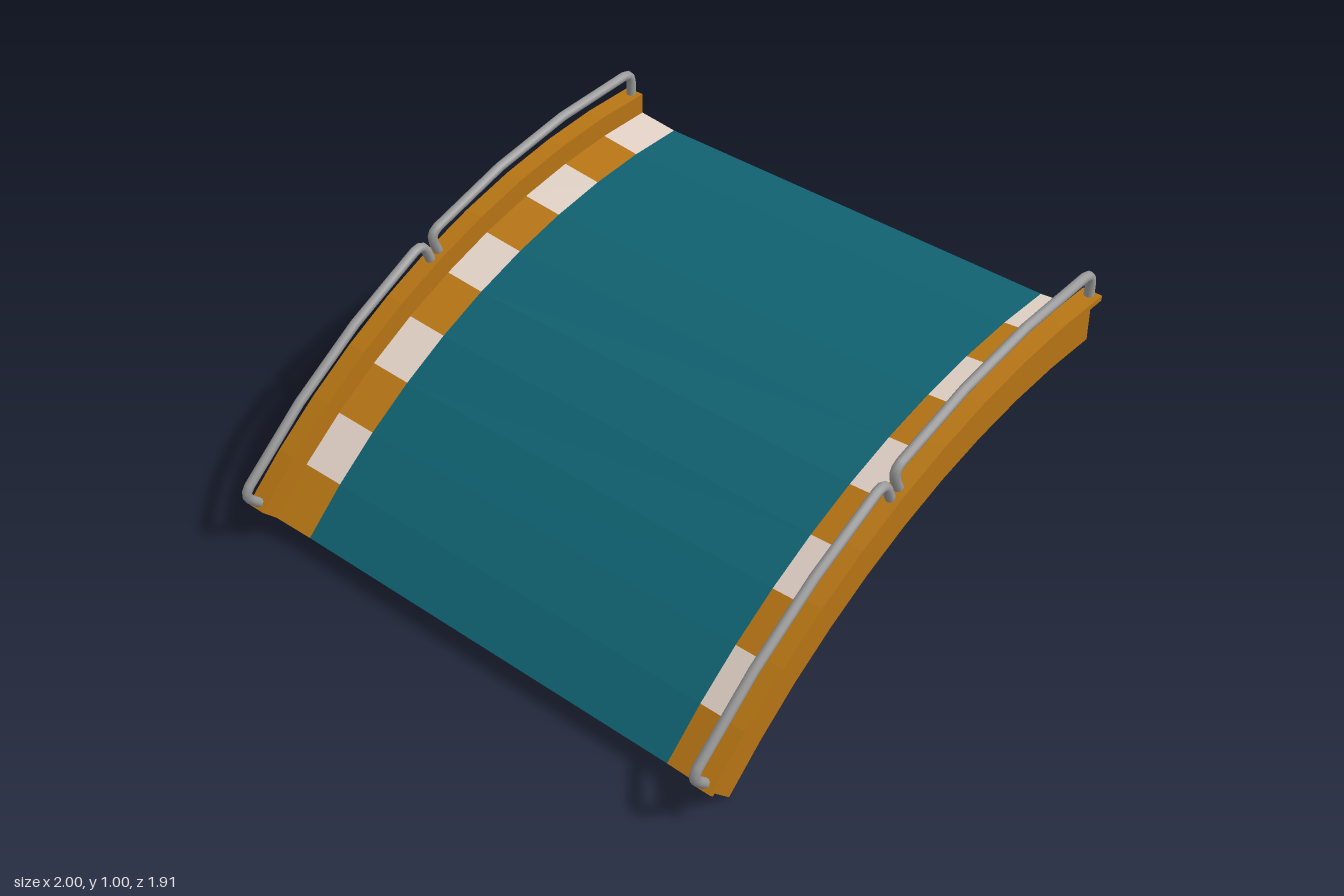
import * as THREE from 'three';

// The whole bridge is swept around one x-parallel axis, from flat (0 deg) to 45 deg at the foot.
const AXIS_Y = -1.743, AXIS_Z = -0.955, SWEEP = 45, BANDS = 10;
const R_BOTTOM = 2.465, R_DECK = 2.556, R_EDGE = 2.572, R_TOP = 2.647;

const material = (color) => new THREE.MeshStandardMaterial({ color });
const teal = material(0x106272), orange = material(0xb87614);
const cream = material(0xe2d2c6), steel = material(0x999999);

// Point at sideways position x, radius r and angle in degrees
function polar(x, r, deg) {
  const a = THREE.MathUtils.degToRad(deg);
  return new THREE.Vector3(x, AXIS_Y + r * Math.cos(a), AXIS_Z + r * Math.sin(a));
}

// Sweeps a closed [x, radius] profile along the arc, with faceted sides and end caps
function arcSolid(name, profile, mat, from = 0, to = SWEEP, steps = BANDS) {
  let pts = profile.map(([x, r]) => new THREE.Vector2(x, r));
  if (THREE.ShapeUtils.isClockWise(pts)) pts = pts.reverse();
  const n = pts.length, verts = [];
  const tri = (...corners) => corners.forEach((p) => verts.push(p.x, p.y, p.z));
  const ring = (k) => pts.map((p) => polar(p.x, p.y, from + ((to - from) * k) / steps));
  for (let k = 0; k < steps; k++) {
    const a = ring(k), b = ring(k + 1);
    for (let i = 0; i < n; i++) {
      const j = (i + 1) % n;
      tri(a[i], a[j], b[j]);
      tri(a[i], b[j], b[i]);
    }
  }
  const first = ring(0), last = ring(steps);
  for (let i = 1; i < n - 1; i++) {
    tri(first[0], first[i + 1], first[i]);
    tri(last[0], last[i], last[i + 1]);
  }
  const geo = new THREE.BufferGeometry();
  geo.setAttribute('position', new THREE.Float32BufferAttribute(verts, 3));
  geo.computeVertexNormals();
  const mesh = new THREE.Mesh(geo, mat);
  mesh.name = name;
  return mesh;
}

const rect = (x0, x1, r0, r1) => [[x0, r0], [x1, r0], [x1, r1], [x0, r1]];

// Polyline whose tube rings sit exactly on its points
class Polyline extends THREE.Curve {
  constructor(points) { super(); this.points = points; }
  getPoint(t) {
    const f = t * (this.points.length - 1);
    const i = Math.min(Math.floor(f + 1e-6), this.points.length - 2);
    return this.points[i].clone().lerp(this.points[i + 1], f - i);
  }
  getPointAt(t) { return this.getPoint(t); }
  getTangentAt(t) {
    const p = this.points, last = p.length - 1, i = Math.round(t * last);
    const dir = new THREE.Vector3();
    if (i > 0) dir.add(p[i].clone().sub(p[i - 1]).normalize());
    if (i < last) dir.add(p[i + 1].clone().sub(p[i]).normalize());
    return dir.normalize();
  }
}

// Handrail: two short posts with rounded corners and a three-piece bar
function handrail(x, from, to) {
  const corner = [[0, 2.63], [-0.03, 2.69], [0.08, 2.712], [0.33, 2.724], [0.8, 2.729]];
  const points = corner.map(([d, r]) => polar(x, r, from + d));
  const a = from + 0.8, b = to - 0.8;
  for (const t of [1 / 3, 2 / 3]) points.push(polar(x, 2.729, a + (b - a) * t));
  for (const [d, r] of [...corner].reverse()) points.push(polar(x, r, to - d));
  const geo = new THREE.TubeGeometry(new Polyline(points), points.length - 1, 0.017, 10);
  const mesh = new THREE.Mesh(geo, steel);
  mesh.name = 'handrail';
  return mesh;
}

export function createModel() {
  const model = new THREE.Group();
  model.name = 'archedBridgeSection';

  // Road deck, recessed at both edges for the painted bands
  const inset = 0.006;
  model.add(arcSolid('deck', [
    [-0.93, R_BOTTOM], [0.93, R_BOTTOM], [0.93, R_EDGE - inset], [0.78, R_DECK - inset],
    [0.78, R_DECK], [-0.78, R_DECK], [-0.78, R_DECK - inset], [-0.93, R_EDGE - inset],
  ], teal));

  for (const s of [1, -1]) {
    const side = new THREE.Group();
    side.name = s > 0 ? 'leftSide' : 'rightSide';

    // Alternating edge bands, rising slightly towards the wall
    const band = [
      [s * 0.78, R_DECK - inset], [s * 0.93, R_EDGE - inset],
      [s * 0.93, R_EDGE], [s * 0.78, R_DECK],
    ];
    const step = SWEEP / BANDS;
    for (let i = 0; i < BANDS; i++) {
      side.add(arcSolid('edgeBand', band, i % 2 ? orange : cream, i * step, (i + 1) * step, 1));
    }

    // Side wall with an overhanging cap
    side.add(arcSolid('sideWall', rect(s * 0.93, s * 0.965, R_BOTTOM, R_TOP - 0.018), orange));
    side.add(arcSolid('wallCap', rect(s * 0.93, s * 1.0, R_TOP - 0.018, R_TOP), orange));

    // Two handrails end to end
    side.add(handrail(s * 0.965, 0.45, 22.0), handrail(s * 0.965, 22.9, 44.5));
    model.add(side);
  }
  return model;
}
